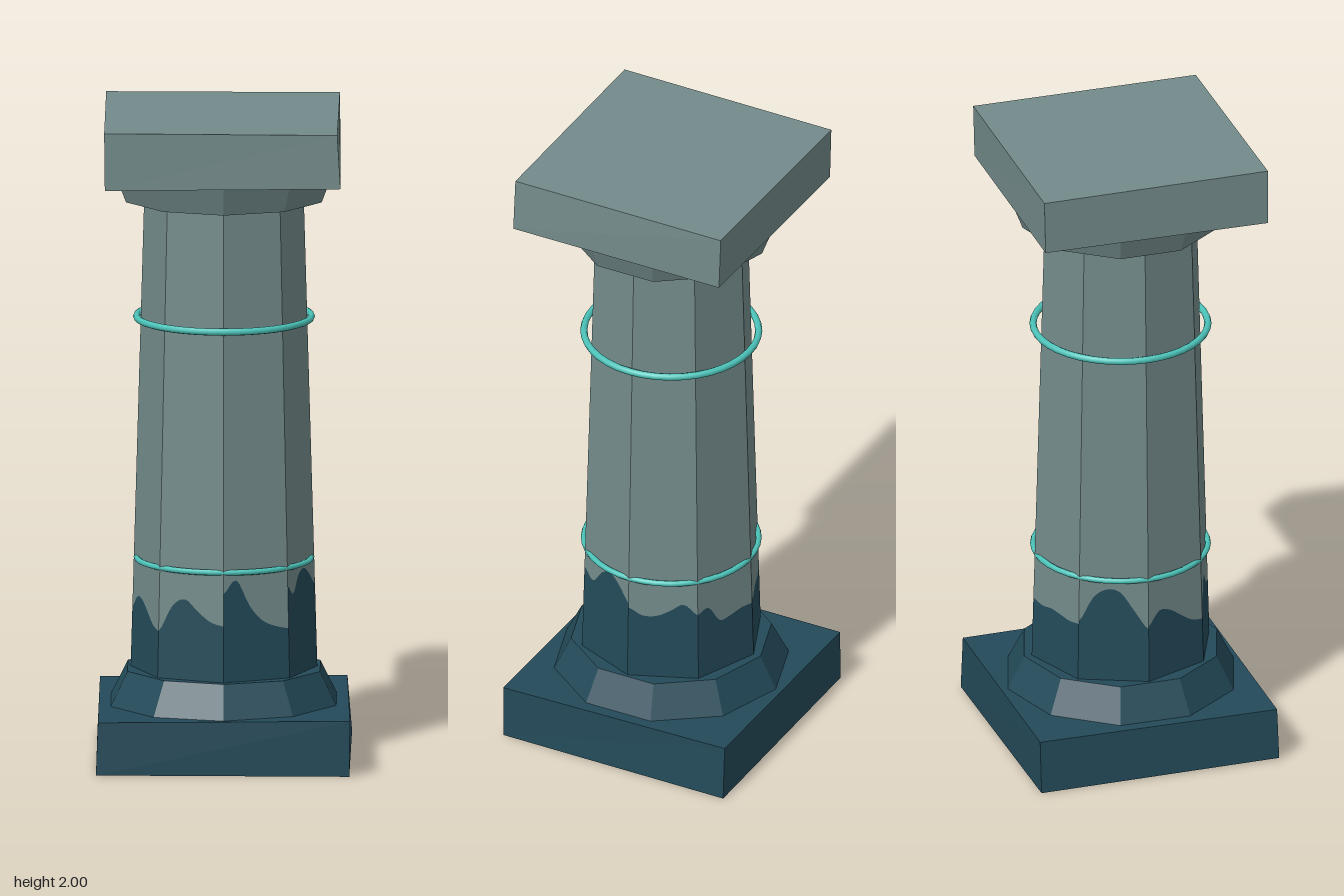
import * as THREE from 'three';

const stone = new THREE.MeshStandardMaterial({ color: 0x738a8a });
stone.name = 'weathered stone';
const wet = new THREE.MeshStandardMaterial({ color: 0x234a59 });
wet.name = 'dark wet stone';
const glow = new THREE.MeshStandardMaterial({ color: 0x4cc4ba });
glow.name = 'turquoise band';
stone.flatShading = wet.flatShading = true;

// Shaft: tapered octagon, first corner facing +z
const SIDES = 8, STEPS = 20, BASE_Y = 0.27, TOP_Y = 1.75;
const radiusAt = (y) => 0.286 - 0.042 * (y - BASE_Y) / (TOP_Y - BASE_Y);

// Height of the tide mark along each face, sampled evenly from corner to corner
const tide = [
  [0.55, 0.59, 0.51, 0.46, 0.44, 0.43],
  [0.56, 0.53, 0.58, 0.595, 0.57, 0.53],
  [0.515, 0.49, 0.49, 0.51, 0.535, 0.5],
  [0.5, 0.51, 0.45, 0.45, 0.46, 0.46],
  [0.47, 0.46, 0.465, 0.46, 0.455, 0.46],
  [0.47, 0.55, 0.58, 0.57, 0.51, 0.45],
  [0.46, 0.5, 0.49, 0.46, 0.43, 0.42],
  [0.42, 0.5, 0.525, 0.49, 0.46, 0.45],
];

function facePoint(face, t, y) {
  const a = (face / SIDES) * Math.PI * 2, b = ((face + 1) / SIDES) * Math.PI * 2;
  const r = radiusAt(y);
  return [
    r * THREE.MathUtils.lerp(Math.sin(a), Math.sin(b), t), y,
    r * THREE.MathUtils.lerp(Math.cos(a), Math.cos(b), t),
  ];
}

// Strip of the shaft between two height functions (face, t) => y
function shaftBand(low, high) {
  const pos = [];
  for (let f = 0; f < SIDES; f++) {
    for (let i = 0; i < STEPS; i++) {
      const t0 = i / STEPS, t1 = (i + 1) / STEPS;
      const a = facePoint(f, t0, low(f, t0)), b = facePoint(f, t1, low(f, t1));
      const c = facePoint(f, t1, high(f, t1)), d = facePoint(f, t0, high(f, t0));
      pos.push(...a, ...b, ...c, ...a, ...c, ...d);
    }
  }
  const geo = new THREE.BufferGeometry();
  geo.setAttribute('position', new THREE.Float32BufferAttribute(pos, 3));
  geo.computeVertexNormals();
  return geo;
}

// Hand-cut slab: each corner is [x, y, z], picked by the signs of the box corner
function slab(corners) {
  const geo = new THREE.BoxGeometry(1, 1, 1).toNonIndexed();
  const p = geo.attributes.position;
  for (let i = 0; i < p.count; i++) {
    const k = (p.getY(i) > 0 ? 4 : 0) + (p.getZ(i) > 0 ? 2 : 0) + (p.getX(i) > 0 ? 1 : 0);
    p.setXYZ(i, ...corners[k]);
  }
  geo.computeVertexNormals();
  return geo;
}

export function createModel() {
  const model = new THREE.Group();
  model.name = 'column';
  const add = (name, geo, mat, y = 0) => {
    const mesh = new THREE.Mesh(geo, mat);
    mesh.name = name;
    mesh.position.y = y;
    model.add(mesh);
    return mesh;
  };

  // Square foot and head
  add('plinth', slab([
    [-0.39, 0, -0.38], [0.39, 0, -0.388], [-0.39, 0.005, 0.385], [0.386, 0, 0.376],
    [-0.382, 0.17, -0.382], [0.376, 0.173, -0.386], [-0.384, 0.168, 0.38], [0.388, 0.173, 0.376],
  ]), wet);
  add('abacus', slab([
    [-0.362, 1.827, -0.358], [0.355, 1.824, -0.355], [-0.363, 1.822, 0.357], [0.359, 1.828, 0.357],
    [-0.363, 1.997, -0.362], [0.353, 1.995, -0.36], [-0.365, 2, 0.357], [0.349, 1.995, 0.355],
  ]), stone);

  // Ten-sided flared mouldings
  add('baseMoulding', new THREE.CylinderGeometry(0.31, 0.366, 0.11, 10), wet, 0.22);
  add('capitalMoulding', new THREE.CylinderGeometry(0.352, 0.315, 0.095, 10), stone, 1.785);

  // Shaft split along the tide mark
  const curves = tide.map((h) => new THREE.SplineCurve(
    h.map((y, i) => new THREE.Vector2(i / (h.length - 1), y))));
  const mark = (f, t) => curves[f].getPoint(t).y;
  add('wetShaft', shaftBand(() => BASE_Y, mark), wet);
  add('dryShaft', shaftBand(mark, () => TOP_Y), stone);

  // Thin glowing hoops
  for (const [name, y, tube] of [['lowerBand', 0.615, 0.009], ['upperBand', 1.365, 0.011]]) {
    add(name, new THREE.TorusGeometry(0.268, tube, 8, 40), glow, y).rotation.x = Math.PI / 2;
  }
  return model;
}
